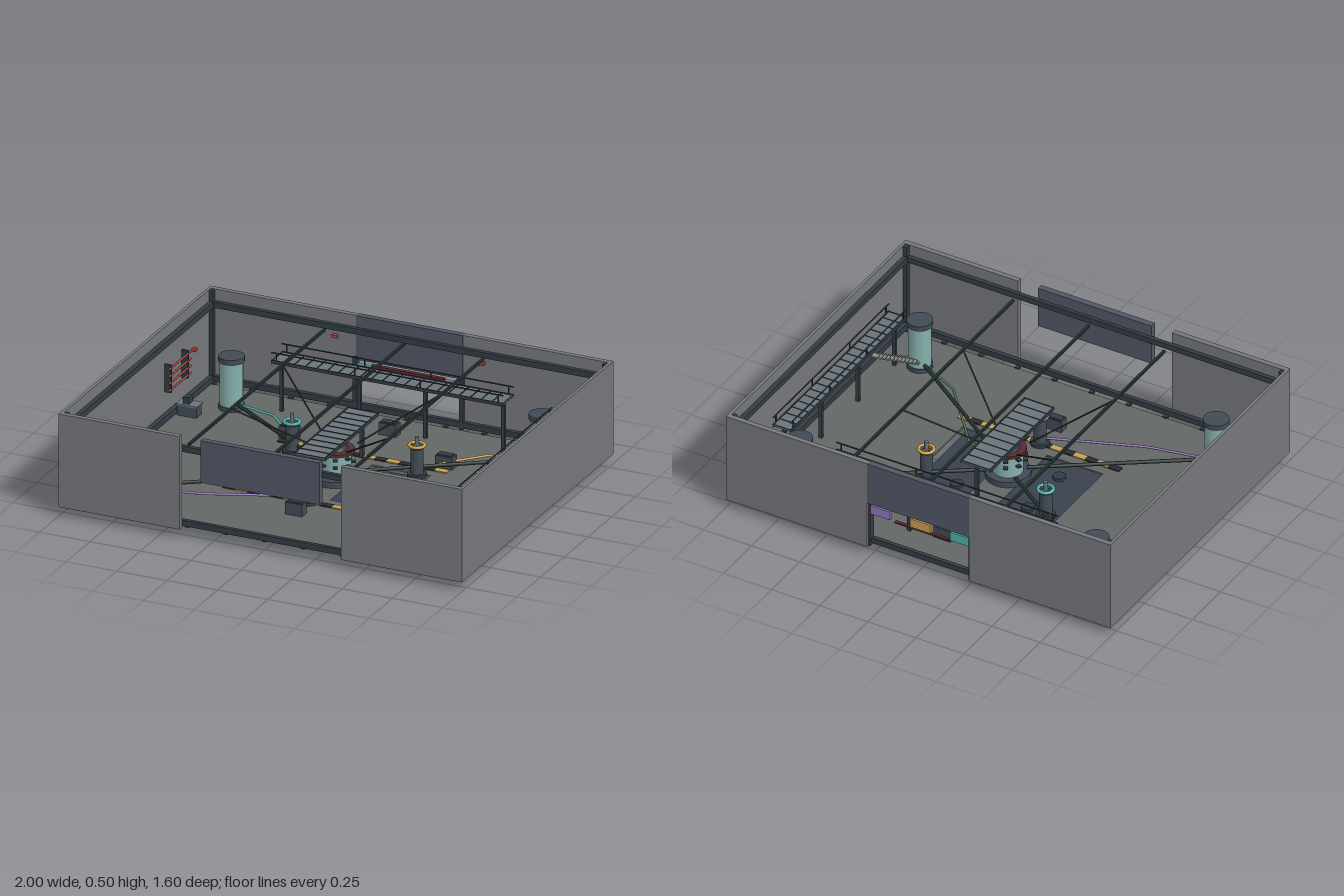
import * as THREE from 'three';

const C = {
  wall: 0x76787c, panel: 0x525766, floor: 0x626866, pit: 0x3a424e, dark: 0x333c44, beam: 0x26302f,
  tank: 0x86b0ac, cap: 0x424b56, grate: 0x6a747a, step: 0x8c9090, teal: 0x4db5a8, gold: 0xc8a050,
  purple: 0x9278b8, green: 0x4f7a5c, red: 0xa84840, maroon: 0x5a2a30, black: 0x2b2b2b,
};
const mats = {};
function mat(c) {
  return mats[c] ??= new THREE.MeshStandardMaterial({ color: C[c] });
}

export function createModel() {
  const root = new THREE.Group();
  const add = (name, geo, c, x = 0, y = 0, z = 0, parent = root) => {
    const m = new THREE.Mesh(geo, mat(c));
    m.name = name;
    m.position.set(x, y, z);
    parent.add(m);
    return m;
  };
  // box given by its lower and upper corner
  const box = (name, c, x0, x1, y0, y1, z0, z1, parent) =>
    add(name, new THREE.BoxGeometry(x1 - x0, y1 - y0, z1 - z0), c,
      (x0 + x1) / 2, (y0 + y1) / 2, (z0 + z1) / 2, parent);
  // upright cylinder given by its base height and top height
  const cyl = (name, c, x, z, y0, y1, r, rTop = r, parent) =>
    add(name, new THREE.CylinderGeometry(rTop, r, y1 - y0, 24), c, x, (y0 + y1) / 2, z, parent);
  // pipe along straight runs
  const pipe = (name, c, pts, r, parent) => {
    const path = new THREE.CurvePath();
    const v = pts.map(p => new THREE.Vector3(...p));
    for (let i = 1; i < v.length; i++) path.add(new THREE.LineCurve3(v[i - 1], v[i]));
    return add(name, new THREE.TubeGeometry(path, 12 * (v.length - 1), r, 8), c, 0, 0, 0, parent);
  };
  const Y = 0.05; // floor level

  // floor slab with two pit openings
  const slab = new THREE.Shape([[-0.975, -0.74], [0.975, -0.74], [0.975, 0.74], [-0.975, 0.74]]
    .map(p => new THREE.Vector2(...p)));
  for (const s of [-1, 1]) {
    const a = s < 0 ? -0.365 : 0.075;
    slab.holes.push(new THREE.Path([[a, -0.22], [a, 0.22], [a + 0.29, 0.22], [a + 0.29, -0.22]]
      .map(p => new THREE.Vector2(...p))));
  }
  const floorGeo = new THREE.ExtrudeGeometry(slab, { depth: 0.008, bevelEnabled: false });
  floorGeo.rotateX(-Math.PI / 2);
  add('floor', floorGeo, 'floor', 0, Y - 0.008, 0);

  // sunken pit floor with vents and access steps
  box('pitFloor', 'pit', -0.36, 0.36, 0, 0.012, -0.26, 0.26);
  for (const x of [-0.185, 0.185]) for (const z of [-0.14, 0.14]) {
    cyl('pitVent', 'dark', x, z, 0.012, 0.026, 0.03);
  }
  for (let i = 0; i < 6; i++) {
    const z = 0.26 + i * 0.023;
    box('pitStep', 'step', -0.37, -0.27, 0.01 + i * 0.005, 0.017 + i * 0.005, z, z + 0.024);
  }

  // outer walls, with openings front and back
  for (const s of [-1, 1]) {
    box('sideWall', 'wall', s * 0.9925 - 0.0075, s * 0.9925 + 0.0075, 0.045, 0.5, -0.8, 0.8);
    const fx = s * 0.695, bx = s * 0.63;
    box('frontWall', 'wall', fx - 0.295, fx + 0.295, 0.045, 0.5, 0.775, 0.8);
    box('backWall', 'wall', bx - 0.365, bx + 0.365, 0.045, 0.5, -0.8, -0.775);
    for (const z of [-0.77, 0.77]) box('cornerPost', 'dark', s * 0.975 - 0.01, s * 0.975 + 0.01, 0.045, 0.495, z - 0.015, z + 0.015);
  }
  box('frontDoor', 'panel', -0.295, 0.295, 0.295, 0.5, 0.772, 0.802);
  box('backHeader', 'panel', -0.265, 0.265, 0.285, 0.5, -0.802, -0.772);

  // trim rails around the inside
  for (const y of [0.068, 0.43]) {
    for (const s of [-1, 1]) {
      box('endRail', 'dark', -0.975, 0.975, y - 0.014, y + 0.014, s * 0.765 - 0.01, s * 0.765 + 0.01);
      box('sideRail', 'dark', s * 0.974 - 0.012, s * 0.974 + 0.012, y - 0.014, y + 0.014, -0.76, 0.76);
    }
  }
  for (const z of [-0.747, 0.747]) for (let i = 0; i <= 10; i++) {
    const x = -0.96 + i * 0.192;
    box('floorClip', 'dark', x - 0.01, x + 0.01, 0.042, 0.056, z - 0.012, z + 0.012);
  }

  // back opening: frame, coloured panels, red bars and lamps
  for (const x of [-0.265, 0.265]) box('openingPost', 'dark', x - 0.009, x + 0.009, 0.045, 0.3, -0.79, -0.755);
  ['teal', 'gold', 'purple'].forEach((c, i) => {
    const x = (i - 1) * 0.208;
    box('statusPanel', c, x - 0.052, x + 0.052, 0.22, 0.265, -0.785, -0.765);
  });
  box('openingBar', 'maroon', -0.18, 0.18, 0.268, 0.28, -0.77, -0.75);
  box('lowerOpeningBar', 'maroon', -0.14, 0.14, 0.2, 0.208, -0.77, -0.755);
  for (const x of [-0.365, 0.365]) box('wallLamp', 'red', x - 0.012, x + 0.012, 0.378, 0.392, -0.775, -0.755);

  // roof beams and slanted braces
  for (const x of [-0.393, 0, 0.393]) box('roofBeam', 'beam', x - 0.006, x + 0.006, 0.424, 0.436, -0.72, 0.72);
  for (const sx of [-1, 1]) for (const sz of [-1, 1]) {
    pipe('brace', 'beam', [[sx * 0.39, 0.43, sz * 0.27], [sx * 0.08, 0.22, sz * 0.055]], 0.004);
    // corner tanks with main feed pipes
    const tank = new THREE.Group();
    tank.name = 'cornerTank';
    root.add(tank);
    const x = sx * 0.77, z = sz * 0.535;
    cyl('tankBase', 'cap', x, z, Y, 0.07, 0.06, 0.06, tank);
    cyl('tankBody', 'tank', x, z, 0.07, 0.28, 0.053, 0.053, tank);
    cyl('tankCap', 'cap', x, z, 0.28, 0.305, 0.06, 0.06, tank);
    pipe('feedPipe', 'beam', [[x, 0.085, z], [sx * 0.07, 0.085, sz * 0.05]], 0.009, tank);
  }

  // coloured service lines
  pipe('tealLine', 'teal', [[-0.77, 0.08, -0.53], [-0.53, 0.08, -0.47], [-0.4, 0.08, -0.33], [-0.31, 0.08, -0.2]], 0.006);
  pipe('goldLine', 'gold', [[0.77, 0.08, -0.53], [0.53, 0.08, -0.47], [0.4, 0.08, -0.33], [0.31, 0.08, -0.2]], 0.006);
  pipe('purpleLine', 'purple', [[-0.77, 0.08, 0.53], [-0.45, 0.08, 0.465], [0, 0.08, 0.285]], 0.006);
  pipe('greenLine', 'green', [[0.77, 0.08, 0.53], [0.53, 0.08, 0.42], [0.26, 0.08, 0.1], [0.06, 0.08, 0.01]], 0.006);

  // central core
  cyl('coreBase', 'cap', 0, 0, Y, 0.08, 0.105);
  cyl('coreBody', 'tank', 0, 0, 0.08, 0.19, 0.07);
  cyl('coreRing', 'maroon', 0, 0, 0.19, 0.205, 0.085);
  cyl('coreTop', 'dark', 0, 0, 0.205, 0.255, 0.055, 0.02);
  for (let i = 0; i < 8; i++) {
    const a = i * Math.PI / 4 + 0.39;
    for (const y of [0.14, 0.175]) {
      const k = box('coreKnob', 'dark', -0.01, 0.01, y - 0.004, y + 0.004, -0.01, 0.01);
      k.position.set(Math.cos(a) * 0.08, y, Math.sin(a) * 0.08);
      k.rotation.y = -a;
    }
  }

  // valve columns with hand wheels
  for (const [x, z, c] of [[-0.31, -0.195, 'teal'], [0.31, -0.195, 'gold'], [0, 0.285, 'purple']]) {
    cyl('valveFoot', 'dark', x, z, Y, 0.065, 0.045);
    cyl('valveColumn', 'cap', x, z, 0.065, 0.185, 0.03);
    cyl('valveStem', 'grate', x, z, 0.185, 0.24, 0.01);
    const w = add('handWheel', new THREE.TorusGeometry(0.035, 0.008, 8, 28), c, x, 0.2, z);
    w.rotation.x = Math.PI / 2;
    for (const r of [0, Math.PI / 2]) {
      box('wheelSpoke', c, -0.034, 0.034, 0.197, 0.203, -0.003, 0.003).position.set(x, 0.2, z);
      root.children.at(-1).rotation.y = r;
    }
  }

  // floor consoles
  for (const [x, z] of [[-0.39, -0.34], [0.385, -0.34], [0, -0.565], [0, 0.425]]) {
    box('console', 'cap', x - 0.043, x + 0.043, Y, 0.108, z - 0.024, z + 0.024);
    box('consoleTop', 'dark', x - 0.036, x + 0.036, 0.108, 0.114, z - 0.018, z + 0.018);
  }

  // hazard strips
  for (const z of [-0.288, 0.285]) for (let i = 0; i < 14; i++) {
    const x = -0.42 + i * 0.06;
    box('hazardStrip', i % 2 ? 'gold' : 'black', x, x + 0.06, Y, Y + 0.005, z - 0.017, z + 0.017);
  }

  // raised walkways: grated deck, rails and legs; built along x
  function walkway(name, length, width, y, x, z, turn, legs, rail) {
    const g = new THREE.Group();
    g.name = name;
    g.position.set(x, 0, z);
    g.rotation.y = turn;
    root.add(g);
    const h = length / 2, w = width / 2;
    box('deck', 'grate', -h, h, y - 0.008, y, -w, w, g);
    const n = Math.round(length / 0.055);
    for (let i = 0; i <= n; i++) {
      const px = -h + 0.003 + i * (length - 0.006) / n;
      box('deckBar', 'dark', px - 0.002, px + 0.002, y, y + 0.003, -w, w, g);
    }
    for (const s of [-1, 1]) {
      box('deckEdge', 'dark', -h, h, y - 0.012, y + 0.004, s * w - 0.003, s * w + 0.003, g);
      if (rail) box('handRail', 'dark', -h, h, y + 0.038, y + 0.043, s * w - 0.0025, s * w + 0.0025, g);
    }
    for (const lx of legs) {
      box('walkwayLeg', 'dark', lx - 0.008, lx + 0.008, Y, y - 0.008, -0.008, 0.008, g);
      if (rail) for (const s of [-1, 1]) box('railPost', 'dark', lx - 0.0025, lx + 0.0025, y, y + 0.04, s * w - 0.0025, s * w + 0.0025, g);
    }
  }
  walkway('backWalkway', 1.15, 0.11, 0.312, 0, -0.597, 0, [-0.55, -0.163, 0.163, 0.55], true);
  walkway('sideWalkway', 1.03, 0.09, 0.312, 0.873, -0.003, Math.PI / 2, [-0.49, -0.165, 0.165, 0.49], true);
  walkway('centreWalkway', 0.57, 0.15, 0.275, 0, -0.005, Math.PI / 2, [-0.27, 0.27], false);

  // stair to the side walkway, widening toward the floor
  for (let i = 0; i < 14; i++) {
    const t = i / 13, half = 0.015 + t * 0.035, x = 0.8 - t * 0.015;
    const y = 0.3 - t * 0.235, z = 0.19 + t * 0.35;
    box('stairStep', 'step', x - half, x + half, y, y + 0.008, z - 0.014, z + 0.014);
  }

  // wall pipes and desk on the right wall
  for (let i = 0; i < 4; i++) {
    const y = 0.2 + i * 0.035;
    pipe('wallPipe', 'red', [[-0.955, y, -0.5], [-0.955, y, -0.26]], 0.005);
  }
  for (const z of [-0.47, -0.29]) box('pipeBracket', 'dark', -0.985, -0.952, 0.185, 0.32, z - 0.006, z + 0.006);
  box('wallLamp', 'red', -0.985, -0.965, 0.27, 0.285, -0.59, -0.57);
  box('desk', 'cap', -0.955, -0.86, Y, 0.1, -0.41, -0.355);
  box('deskTop', 'grate', -0.96, -0.855, 0.1, 0.108, -0.415, -0.35);
  box('deskScreen', 'dark', -0.93, -0.9, 0.108, 0.14, -0.4, -0.365);

  return root;
}
